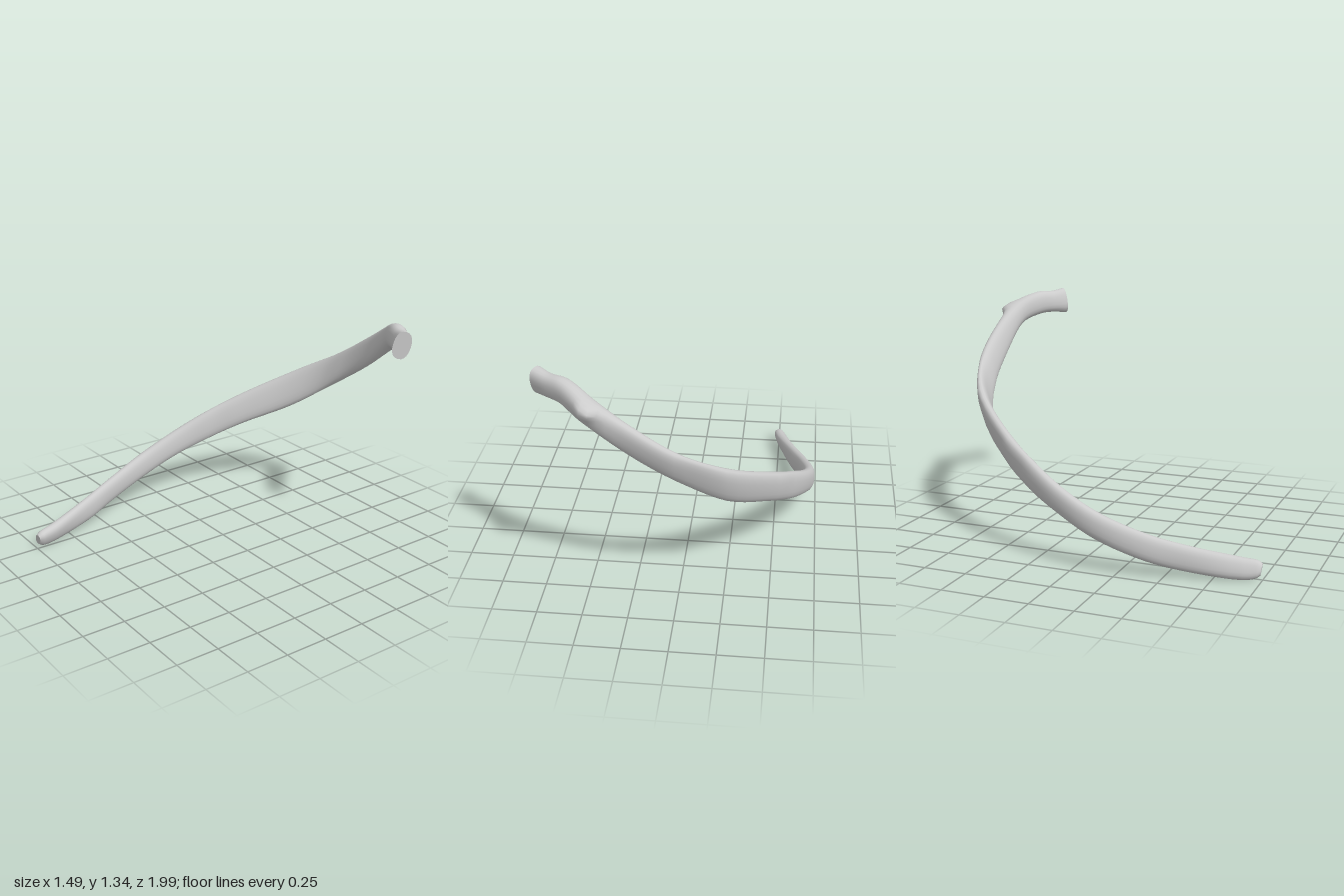
import * as THREE from 'three';

// Cross-sections from front tip to head: upper edge x,y,z, lower edge x,y,z, thickness
const STATIONS = [
  [-0.487, 0.09, 0.995, -0.515, 0.03, 0.99, 0.045],
  [-0.488, 0.105, 0.97, -0.525, 0.013, 0.965, 0.066],
  [-0.51, 0.12, 0.88, -0.55, 0.004, 0.88, 0.075],
  [-0.605, 0.18, 0.6, -0.61, 0.035, 0.6, 0.07],
  [-0.66, 0.235, 0.4, -0.67, 0.085, 0.4, 0.072],
  [-0.698, 0.335, 0.13, -0.695, 0.18, 0.13, 0.077],
  [-0.67, 0.445, -0.1, -0.655, 0.285, -0.1, 0.075],
  [-0.6, 0.555, -0.3, -0.58, 0.375, -0.3, 0.072],
  [-0.49, 0.67, -0.51, -0.46, 0.475, -0.49, 0.072],
  [-0.25, 0.85, -0.795, -0.25, 0.61, -0.715, 0.07],
  [0, 1.0, -0.915, 0, 0.8, -0.845, 0.07],
  [0.25, 1.165, -0.93, 0.25, 0.98, -0.885, 0.08],
  [0.44, 1.285, -0.895, 0.45, 1.14, -0.88, 0.11],
  [0.57, 1.335, -0.81, 0.57, 1.193, -0.795, 0.1],
  [0.66, 1.332, -0.76, 0.655, 1.198, -0.74, 0.09],
  [0.735, 1.345, -0.715, 0.715, 1.19, -0.68, 0.1],
];
const STEPS = 75, SIDES = 20;

const edge = (k) => new THREE.CatmullRomCurve3(
  STATIONS.map((s) => new THREE.Vector3(s[k], s[k + 1], s[k + 2])));

function ribGeometry() {
  const upper = edge(0), lower = edge(3);
  const thickness = new THREE.CatmullRomCurve3(STATIONS.map((s) => new THREE.Vector3(s[6], 0, 0)));
  const bump = new THREE.Vector3(0.445, 1.235, -0.945);
  const positions = [], indices = [], centres = [];
  const middle = (t) => upper.getPoint(t).add(lower.getPoint(t)).multiplyScalar(0.5);
  const round = (v) => Math.sign(v) * Math.abs(v) ** 0.85;

  for (let i = 0; i <= STEPS; i++) {
    const t = i / STEPS;
    const c = middle(t);
    const tangent = middle(Math.min(1, t + 0.01)).sub(middle(Math.max(0, t - 0.01)));
    const w = upper.getPoint(t).sub(c);
    const n = tangent.cross(w).normalize().multiplyScalar(thickness.getPoint(t).x / 2);
    centres.push(c);
    for (let j = 0; j < SIDES; j++) {
      const a = (j / SIDES) * Math.PI * 2;
      const p = c.clone().addScaledVector(w, round(Math.cos(a))).addScaledVector(n, round(Math.sin(a)));
      // Tubercle: pull the back surface out where the neck begins
      const pull = Math.exp(-p.distanceToSquared(bump) / (2 * 0.035 ** 2));
      p.z -= 0.062 * pull;
      positions.push(p.x, p.y, p.z);
    }
  }
  for (let i = 0; i < STEPS; i++) {
    for (let j = 0; j < SIDES; j++) {
      const k = (j + 1) % SIDES;
      const a = i * SIDES + j, b = i * SIDES + k;
      indices.push(a, b, a + SIDES, b, b + SIDES, a + SIDES);
    }
  }
  // End caps with their own vertices, so the rims stay sharp
  for (const ring of [0, STEPS]) {
    const base = positions.length / 3;
    positions.push(...positions.slice(ring * SIDES * 3, (ring + 1) * SIDES * 3));
    positions.push(...centres[ring].toArray());
    for (let j = 0; j < SIDES; j++) {
      const a = base + j, b = base + ((j + 1) % SIDES);
      indices.push(base + SIDES, ...(ring ? [a, b] : [b, a]));
    }
  }
  const geometry = new THREE.BufferGeometry();
  geometry.setAttribute('position', new THREE.Float32BufferAttribute(positions, 3));
  geometry.setIndex(indices);
  geometry.computeVertexNormals();
  return geometry;
}

export function createModel() {
  const group = new THREE.Group();
  group.name = 'rib';
  const bone = new THREE.Mesh(ribGeometry(), new THREE.MeshStandardMaterial({ color: 0xcccccc }));
  bone.name = 'ribBone';
  group.add(bone);
  return group;
}
